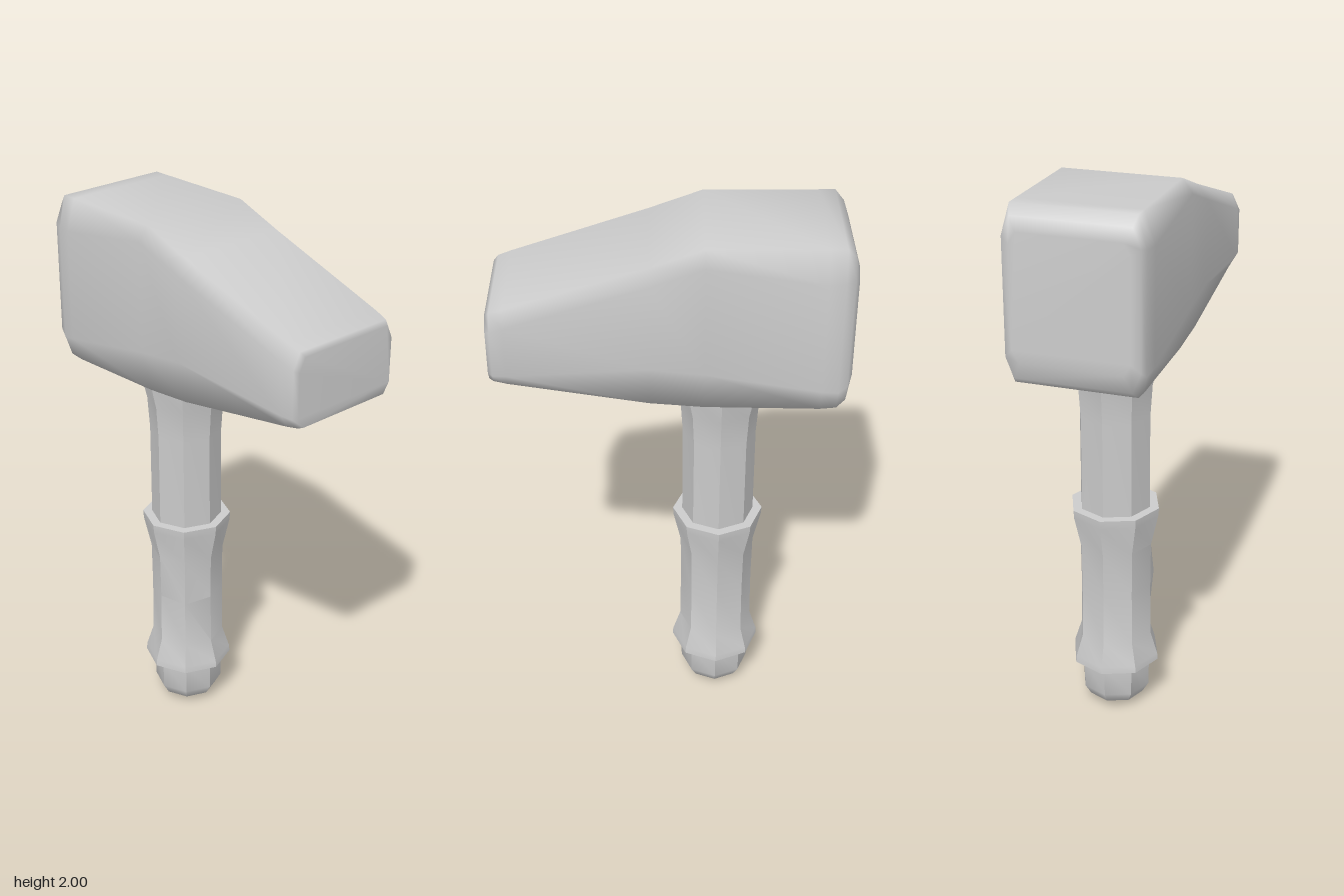
import * as THREE from 'three';
import { toCreasedNormals } from 'three/addons/utils/BufferGeometryUtils.js';

const material = new THREE.MeshStandardMaterial({ color: 0xcccccc });

function part(name, geometry) {
  const mesh = new THREE.Mesh(geometry, material);
  mesh.name = name;
  return mesh;
}

// Eight-sided turned piece; profile is [radius, height] from bottom to top
function turned(profile) {
  return new THREE.LatheGeometry(profile.map(([r, y]) => new THREE.Vector2(r, y)), 8);
}

// Head lofted through chamfered rectangles, back to front
function headGeometry() {
  // z, top y, upper side y, lower side y, bottom y, flat half width, full half width
  const sections = [
    [-0.6, 1.92, 1.88, 1.53, 1.49, 0.175, 0.2],
    [-0.585, 1.965, 1.9, 1.5, 1.43, 0.2, 0.228],
    [-0.555, 2.0, 1.89, 1.48, 1.405, 0.21, 0.237],
    [-0.5, 2.0, 1.89, 1.49, 1.4, 0.21, 0.246],
    [-0.11, 2.0, 1.95, 1.56, 1.41, 0.21, 0.246],
    [0.07, 1.935, 1.885, 1.58, 1.425, 0.208, 0.243],
    [0.54, 1.782, 1.725, 1.545, 1.5, 0.2, 0.226],
    [0.585, 1.767, 1.71, 1.545, 1.508, 0.195, 0.222],
    [0.6, 1.752, 1.705, 1.55, 1.513, 0.185, 0.21],
  ];
  const positions = [], index = [];
  for (const [z, top, upper, lower, bottom, flat, full] of sections) {
    const ring = [[full, lower], [full, upper], [flat, top], [-flat, top],
      [-full, upper], [-full, lower], [-flat, bottom], [flat, bottom]];
    for (const [x, y] of ring) positions.push(x, y, z);
  }
  const last = (sections.length - 1) * 8;
  for (let i = 0; i < last; i += 8) {
    for (let j = 0; j < 8; j++) {
      const a = i + j, b = i + (j + 1) % 8;
      index.push(a, b, b + 8, a, b + 8, a + 8);
    }
  }
  // Striking face and front end
  for (let j = 1; j < 7; j++) {
    index.push(0, j + 1, j, last, last + j, last + j + 1);
  }
  const geometry = new THREE.BufferGeometry();
  geometry.setAttribute('position', new THREE.Float32BufferAttribute(positions, 3));
  geometry.setIndex(index);
  geometry.computeVertexNormals();
  return geometry;
}

// Wrapped grip, flared at both ends, with one edge swelling at mid height
function gripGeometry() {
  const geometry = turned([[0.12, 0.19], [0.164, 0.19], [0.162, 0.215], [0.135, 0.3],
    [0.133, 0.5], [0.135, 0.67], [0.162, 0.79], [0.164, 0.82], [0.12, 0.82]]);
  const p = geometry.attributes.position;
  for (let i = 0; i < p.count; i++) {
    const x = p.getX(i), z = p.getZ(i);
    if (Math.abs(p.getY(i) - 0.5) < 0.01 && x < -0.05 && z > 0.05) {
      p.setX(i, x * 1.17);
      p.setZ(i, z * 1.17);
    }
  }
  return geometry;
}

export function createModel() {
  const model = new THREE.Group();
  model.name = 'hammer';
  model.add(part('head', headGeometry()));

  const handle = new THREE.Group();
  handle.name = 'handle';
  handle.position.set(0.004, 0, -0.176);
  // Shaft runs from the rounded butt up into the head
  const shaft = turned([[0, 0.004], [0.05, 0.008], [0.105, 0.035], [0.128, 0.075], [0.13, 0.19],
    [0.13, 1.17], [0.138, 1.29], [0.163, 1.4], [0.165, 1.5]]);
  handle.add(part('shaft', toCreasedNormals(shaft, 0.6)));
  handle.add(part('grip', toCreasedNormals(gripGeometry(), 0.6)));
  model.add(handle);
  return model;
}
